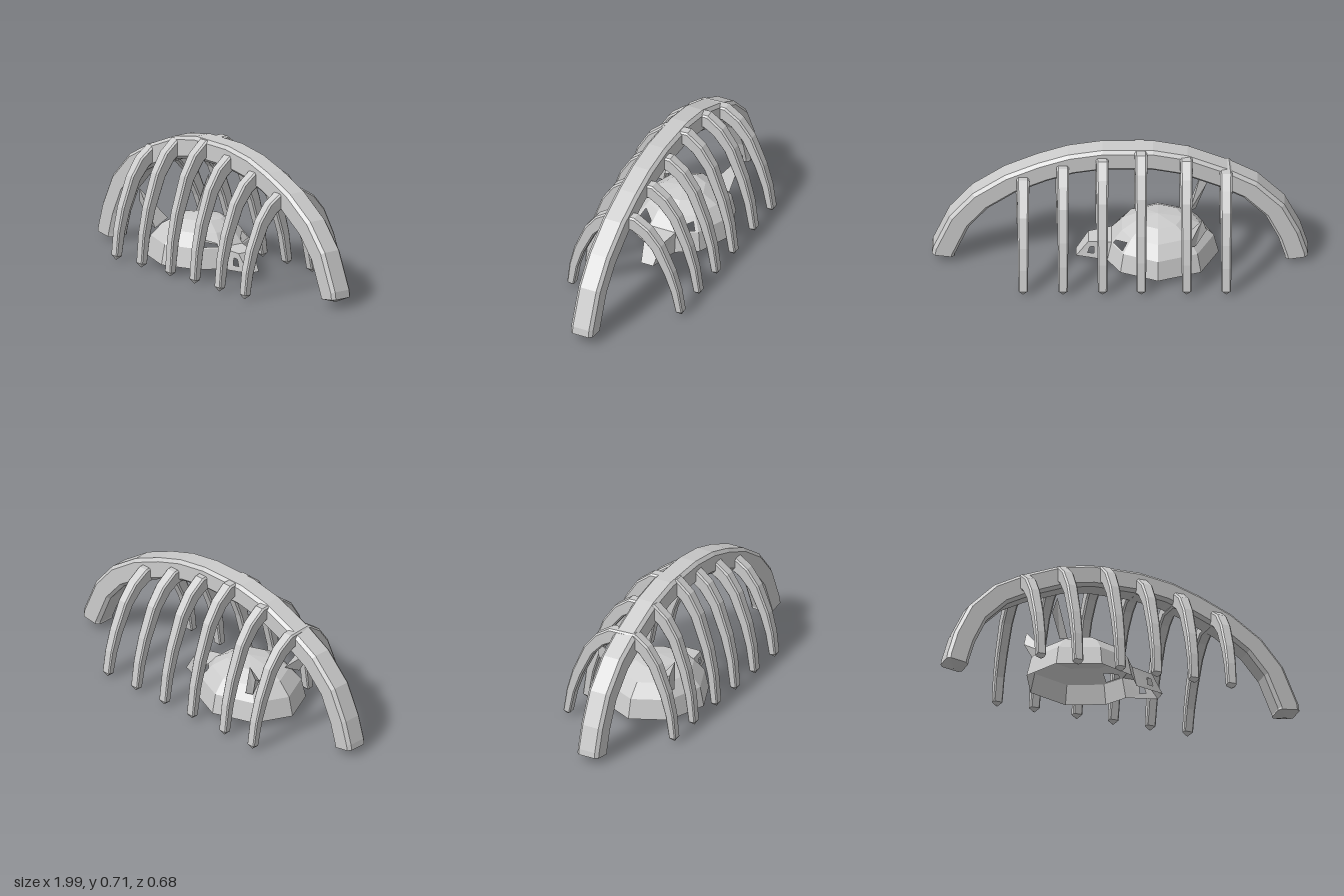
import * as THREE from 'three';

const V = (x, y, z) => new THREE.Vector3(x, y, z);
const material = new THREE.MeshStandardMaterial({ color: 0xcccccc, flatShading: true, side: THREE.DoubleSide });

function meshFrom(tris, name) {
  const geometry = new THREE.BufferGeometry().setFromPoints(tris);
  geometry.computeVertexNormals();
  const mesh = new THREE.Mesh(geometry, material);
  mesh.name = name;
  return mesh;
}

const quad = (out, a, b, c, d) => out.push(a, b, c, a, c, d);

// Quad with a four-cornered hole; hole corners are given as (u, v) inside the quad
function framedQuad(out, corners, hole) {
  const [a, b, c, d] = corners;
  const inner = hole.map(([u, v]) => a.clone().lerp(b, u).lerp(d.clone().lerp(c, u), v));
  for (let i = 0; i < 4; i++) {
    const j = (i + 1) % 4;
    quad(out, corners[i], corners[j], inner[j], inner[i]);
  }
}

// Sweeps a bevelled bar along a path; size(i) returns [half thickness, half width]
function bar(path, side, size, tip, name) {
  const tris = [], last = path.length - 1, n = 8;
  const tangents = path.map((p, i) =>
    path[Math.min(i + 1, last)].clone().sub(path[Math.max(i - 1, 0)]).normalize());
  const rings = path.map((p, i) => {
    const normal = side.clone().cross(tangents[i]);
    const [t, w] = size(i), k = Math.min(t, w) * 0.28;
    return [[t, -w + k], [t, w - k], [t - k, w], [k - t, w], [-t, w - k], [-t, k - w], [k - t, -w], [t - k, -w]]
      .map(([a, b]) => p.clone().addScaledVector(normal, a).addScaledVector(side, b));
  });
  const start = path[0].clone().addScaledVector(tangents[0], -tip);
  const end = path[last].clone().addScaledVector(tangents[last], tip);
  for (let j = 0; j < n; j++) {
    const k = (j + 1) % n;
    for (let i = 0; i < last; i++) quad(tris, rings[i][j], rings[i][k], rings[i + 1][k], rings[i + 1][j]);
    tris.push(start, rings[0][k], rings[0][j], end, rings[last][j], rings[last][k]);
  }
  return meshFrom(tris, name);
}

// Long arched backbone
function createSpine() {
  const path = [
    [-0.935, 0.035], [-0.931, 0.06], [-0.895, 0.18], [-0.82, 0.335], [-0.69, 0.465], [-0.55, 0.54], [-0.34, 0.625],
    [-0.17, 0.657], [0.09, 0.657], [0.26, 0.63], [0.41, 0.58], [0.58, 0.505], [0.74, 0.395], [0.85, 0.265],
    [0.932, 0.075], [0.935, 0.05],
  ].map(([x, y]) => V(x, y, 0.035));
  return bar(path, V(0, 0, 1), () => [0.061, 0.064], 0.022, 'spine');
}

// Rib arch crossing through the spine, tapering to both ends
function createRib(x, height) {
  const half = [[0.318, 0.03], [0.297, 0.19], [0.262, 0.33], [0.195, 0.51], [0.13, 0.605], [0.065, 0.655]];
  const point = (s) => ([z, y], i) => V(x + s * 0.005, i ? y * height / 0.7 : y, s * z + 0.0035 * i);
  const path = [...half.map(point(-1)), ...half.map(point(1)).reverse()];
  const size = (i) => {
    const f = Math.min(i, path.length - 1 - i) / 5;
    return [0.02 + 0.022 * f, 0.025 + 0.008 * f];
  };
  return bar(path, V(1, 0, 0), size, 0.024, 'rib');
}

// Hollow skull with open base, eye sockets, muzzle and ears
function createSkull() {
  const skull = new THREE.Group();
  skull.name = 'skull';
  const tris = [];
  const angles = [-17, 17, 45, 90, 135, 180, 225, 270, 315], n = angles.length;
  const levels = [[1, 0.045], [0.92, 0.152], [0.71, 0.222], [0.42, 0.27]];
  const rings = levels.map(([r, y]) => angles.map((degrees) => {
    const a = degrees * Math.PI / 180, c = Math.cos(a);
    return V(-0.2 + c * r * (c < 0 ? 0.322 : 0.28), y, Math.sin(a) * r * 0.277);
  }));
  const apex = V(-0.2, 0.29, 0);
  for (let j = 0; j < n; j++) {
    const k = (j + 1) % n;
    for (let i = 0; i < 3; i++) {
      if (i === 0 && j === 0) continue; // the muzzle opens here
      const c = [rings[i][k], rings[i][j], rings[i + 1][j], rings[i + 1][k]];
      if (i === 1 && j === 1) framedQuad(tris, c, [[0.15, 0.1], [0.9, 0.1], [0.9, 0.3], [0.15, 0.65]]);
      else if (i === 1 && j === n - 1) framedQuad(tris, c, [[0.1, 0.1], [0.85, 0.1], [0.85, 0.65], [0.1, 0.3]]);
      else quad(tris, ...c);
    }
    tris.push(apex, rings[3][k], rings[3][j]);
  }
  skull.add(meshFrom(tris, 'cranium'));

  // Muzzle: bridge, sloping nose and side walls with nostrils
  const nose = [];
  const sides = [1, -1].map((s) => [
    V(0.068, 0.045, s * 0.081), V(0.232, 0.045, s * 0.036), V(0.168, 0.143, s * 0.05), V(0.045, 0.156, s * 0.075),
  ]);
  for (const wall of sides) framedQuad(nose, wall, [[0.5, 0.28], [0.72, 0.28], [0.78, 0.65], [0.62, 0.68]]);
  const [l, r] = sides;
  quad(nose, l[3], l[2], r[2], r[3]);
  quad(nose, l[2], l[1], r[1], r[2]);
  skull.add(meshFrom(nose, 'muzzle'));

  // Ears: narrow leaning wedges
  for (const s of [1, -1]) {
    const tip = V(-0.436, 0.41, s * 0.235);
    const corner = V(-0.458, 0.33, s * 0.215);
    const base = [V(-0.4, 0.2, s * 0.175), V(-0.36, 0.2, s * 0.19), V(-0.37, 0.24, s * 0.095)];
    const ear = [tip, base[0], base[1], tip, corner, base[0], tip, base[1], base[2], tip, base[2], corner,
      corner, base[2], base[0], base[0], base[2], base[1]];
    if (s < 0) ear.reverse();
    skull.add(meshFrom(ear, s > 0 ? 'frontEar' : 'backEar'));
  }
  skull.position.z = 0.022;
  return skull;
}

export function createModel() {
  const model = new THREE.Group();
  model.name = 'ribcageAndSkull';
  model.add(createSpine());
  const ribs = new THREE.Group();
  ribs.name = 'ribs';
  const layout = [[-0.557, 0.595], [-0.347, 0.68], [-0.107, 0.722], [0.098, 0.68], [0.307, 0.63], [0.518, 0.55]];
  for (const [x, height] of layout) ribs.add(createRib(x, height));
  model.add(ribs, createSkull());
  return model;
}
